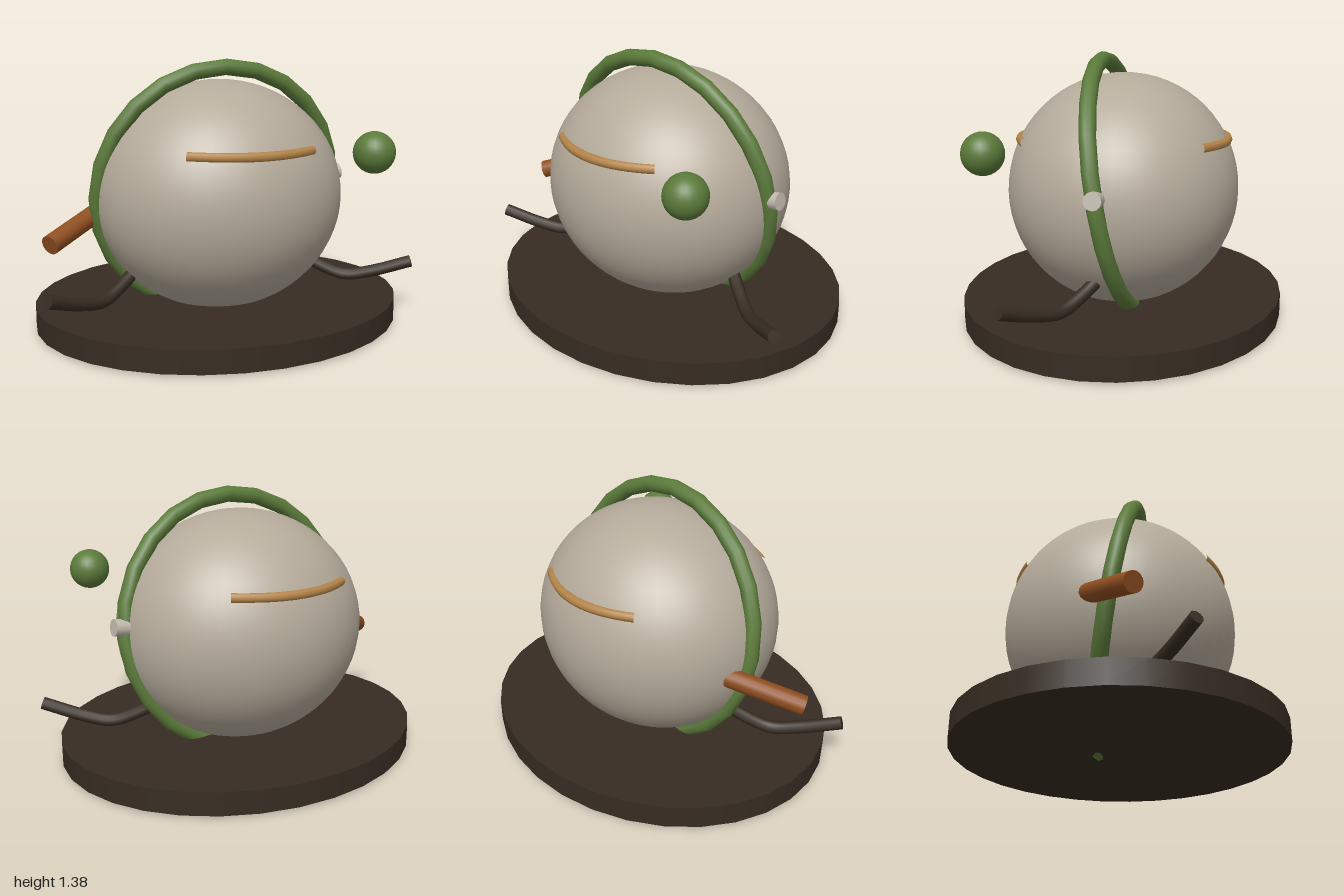
import * as THREE from 'three';

const mat = (name, color, side = THREE.FrontSide) => {
  const m = new THREE.MeshStandardMaterial({ color, side });
  m.name = name;
  return m;
};

export function createModel() {
  const group = new THREE.Group();
  const stone = mat('warm grey', 0xb5ab9b);
  const green = mat('moss green', 0x5b7a3a);
  const dark = mat('dark brown', 0x372c22, THREE.DoubleSide);
  const rust = mat('rust orange', 0x8f4e20);
  const tan = mat('tan', 0xb58549);
  const pale = mat('pale grey', 0xc2baad);

  const add = (name, geometry, material, x = 0, y = 0, z = 0) => {
    const mesh = new THREE.Mesh(geometry, material);
    mesh.name = name;
    mesh.position.set(x, y, z);
    group.add(mesh);
    return mesh;
  };

  // Straight rod between two points
  const rod = (name, a, b, radius, sides, material) => {
    const dir = b.clone().sub(a);
    const mid = a.clone().add(b).multiplyScalar(0.5);
    const mesh = add(name, new THREE.CylinderGeometry(radius, radius, dir.length(), sides), material, mid.x, mid.y, mid.z);
    mesh.quaternion.setFromUnitVectors(new THREE.Vector3(0, 1, 0), dir.normalize());
    return mesh;
  };
  const v = (x, y, z) => new THREE.Vector3(x, y, z);

  // Oval base disc
  add('base', new THREE.CylinderGeometry(1, 1, 0.12, 32), dark, 0, 0.07, 0).scale.set(0.98, 1, 0.84);

  // Rounded body
  add('body', new THREE.SphereGeometry(0.605, 48, 32), stone, 0, 0.672, 0).scale.x = 0.66 / 0.605;

  // Tilted hoop around the body
  add('hoop', new THREE.TorusGeometry(0.66, 0.042, 12, 24), green, 0, 0.692, 0).rotation.x = 0.17;

  // Floating ball
  add('ball', new THREE.SphereGeometry(0.105, 24, 16), green, 0.61, 0.932, 0.552);

  // Spout on the right, knob on the left
  rod('spout', v(-0.92, 0.495, 0.11), v(-0.56, 0.628, -0.147), 0.05, 16, rust);
  rod('knob', v(0.64, 0.742, 0), v(0.722, 0.753, 0), 0.044, 12, pale);

  // Curved ridges, front and back
  for (const s of [1, -1]) {
    const curve = new THREE.QuadraticBezierCurve3(v(-0.325, 0.942, s * 0.441), v(0, 0.934, s * 0.645), v(0.325, 0.942, s * 0.441));
    add(s > 0 ? 'frontRidge' : 'backRidge', new THREE.TubeGeometry(curve, 16, 0.024, 8), tan);
  }

  // Bent side arms with closed tips
  for (const s of [1, -1]) {
    const curve = new THREE.CatmullRomCurve3([
      v(s * 0.44, 0.33, 0.01), v(s * 0.56, 0.25, 0.09), v(s * 0.68, 0.2, 0.17),
      v(s * 0.8, 0.225, 0.25), v(s * 0.98, 0.294, 0.365),
    ]);
    const side = s > 0 ? 'left' : 'right';
    add(side + 'Arm', new THREE.TubeGeometry(curve, 20, 0.033, 10), dark);
    const end = curve.getPoint(1);
    const tip = add(side + 'ArmTip', new THREE.CircleGeometry(0.033, 10), dark, end.x, end.y, end.z);
    tip.quaternion.setFromUnitVectors(v(0, 0, 1), curve.getTangent(1));
  }

  return group;
}
